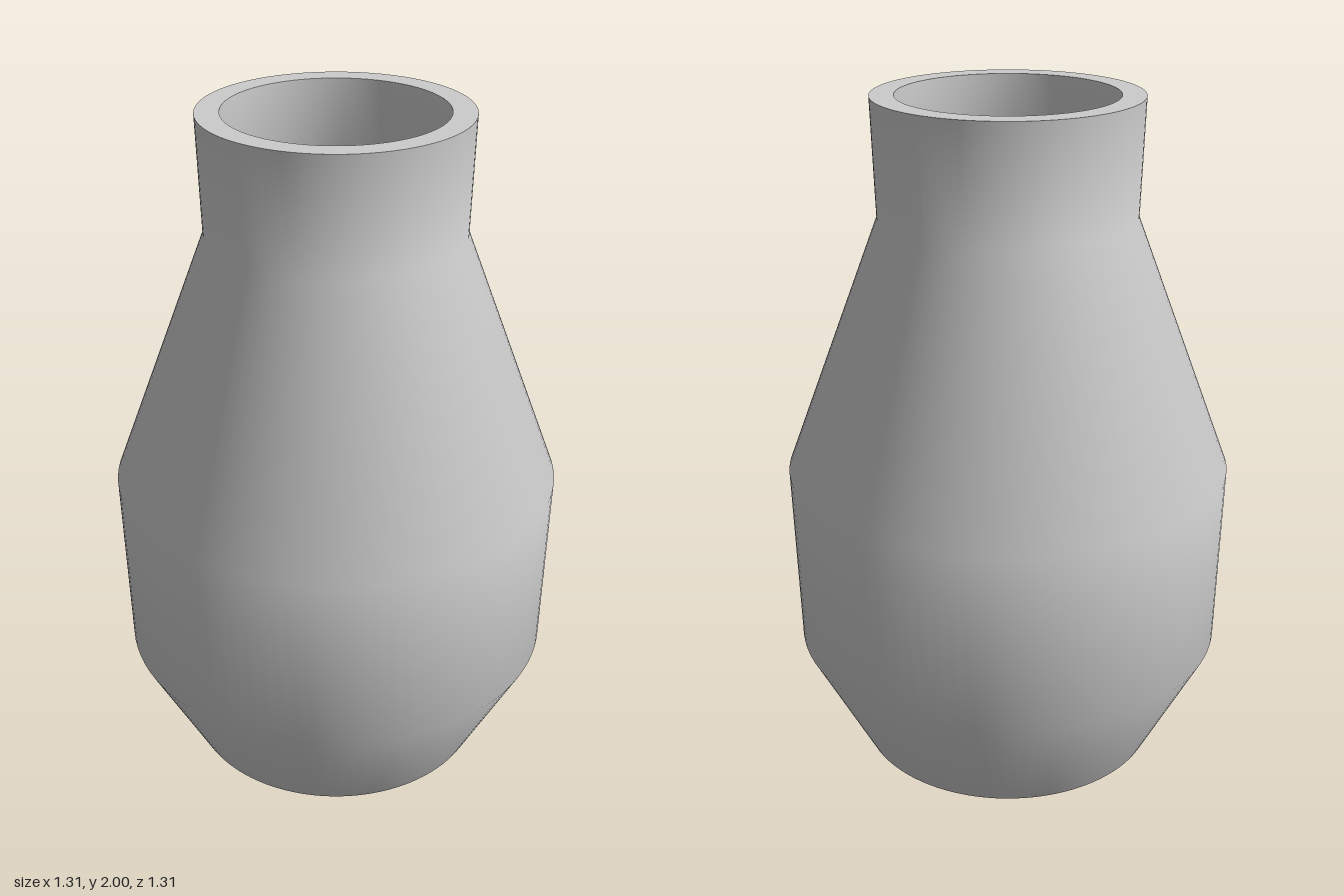
import * as THREE from 'three';

export function createModel() {
  const group = new THREE.Group();
  group.name = 'vase';
  const clay = new THREE.MeshStandardMaterial({ color: 0xcccccc });
  clay.name = 'light grey clay';

  // Each surface is its own lathe: smooth along its profile, sharp where it meets the next
  const turn = (name, profile) => {
    const points = profile.map(([r, y]) => new THREE.Vector2(r, y));
    const mesh = new THREE.Mesh(new THREE.LatheGeometry(points, 96), clay);
    mesh.name = name;
    group.add(mesh);
  };

  // Underside and outer wall, foot to lip
  turn('base', [[0, 0], [0.46, 0]]);
  turn('outerWall', [[0.46, 0], [0.643, 0.36], [0.655, 0.91], [0.37, 1.66], [0.38, 2]]);

  // Flat lip
  turn('rim', [[0.38, 2], [0.312, 2]]);

  // Hollow inside, running parallel to the outer wall
  turn('innerWall', [[0.312, 2], [0.301, 1.65], [0.585, 0.9], [0.573, 0.38], [0.42, 0.07]]);
  turn('innerFloor', [[0.42, 0.07], [0, 0.07]]);

  return group;
}
